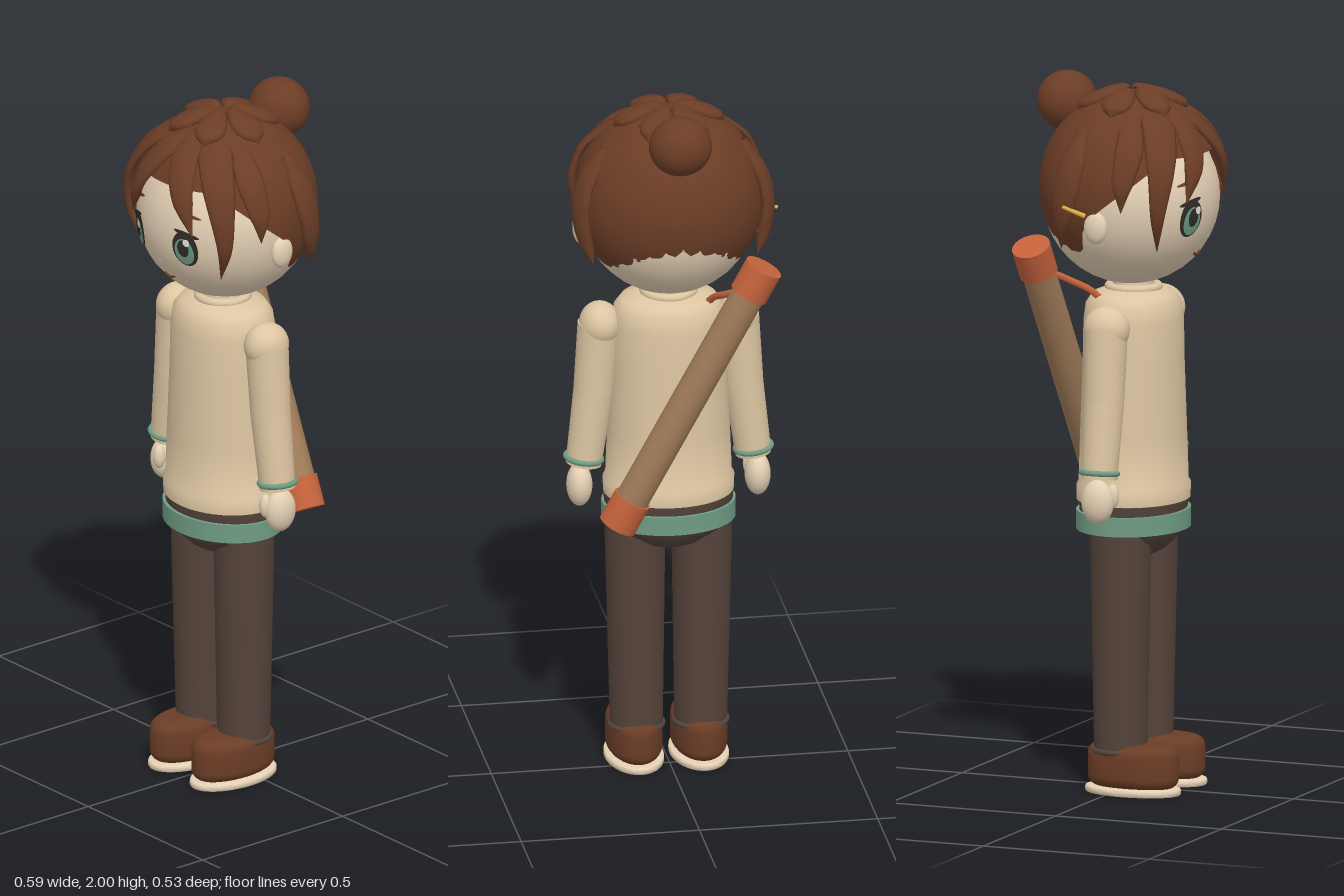
import * as THREE from 'three';
import { toCreasedNormals } from 'three/addons/utils/BufferGeometryUtils.js';

const V = (x, y, z) => new THREE.Vector3(x, y, z);
const mat = (name, color, side = THREE.FrontSide) => {
  const m = new THREE.MeshStandardMaterial({ color, side });
  m.name = name;
  return m;
};

export function createModel() {
  const root = new THREE.Group();
  root.name = 'figure';
  const M = {
    skin: mat('skin', 0xe4d0b4),
    sweater: mat('sweater', 0xddc6a2),
    hair: mat('hair brown', 0x6b3d26, THREE.DoubleSide),
    trousers: mat('trouser brown', 0x54433a),
    green: mat('sage green', 0x6f9c83),
    orange: mat('burnt orange', 0xc4623c),
    tan: mat('tube tan', 0xa07b58),
    yellow: mat('pin yellow', 0xdcae42),
    dark: mat('eye dark', 0x2f2b28),
    white: mat('highlight', 0xf4f0e6),
  };
  const add = (name, geo, material, x = 0, y = 0, z = 0) => {
    const m = new THREE.Mesh(geo, material);
    m.name = name;
    m.position.set(x, y, z);
    root.add(m);
    return m;
  };
  const ball = (name, material, x, y, z, rx, ry = rx, rz = rx) => {
    const m = add(name, new THREE.SphereGeometry(1, 32, 20), material, x, y, z);
    m.scale.set(rx, ry, rz);
    return m;
  };
  // Round bar from a to b
  const bar = (name, material, a, b, ra, rb = ra) => {
    const d = b.clone().sub(a);
    const m = add(name, new THREE.CylinderGeometry(rb, ra, d.length(), 28), material);
    m.position.copy(a).addScaledVector(d, 0.5);
    m.quaternion.setFromUnitVectors(V(0, 1, 0), d.normalize());
    return m;
  };
  // Oval turned profile, listed from bottom to top
  const turned = (name, material, profile, depth) => {
    const g = new THREE.LatheGeometry(profile.map(p => new THREE.Vector2(...p)), 48);
    const m = add(name, toCreasedNormals(g, 0.8), material, 0, 0, 0.018);
    m.scale.z = depth;
    return m;
  };

  // Torso and waist
  turned('sweater', M.sweater, [[0.165, 0.81], [0.182, 0.815], [0.183, 0.855], [0.176, 0.865], [0.171, 1.0],
    [0.163, 1.2], [0.16, 1.32], [0.153, 1.365], [0.132, 1.392], [0.09, 1.405], [0, 1.408]], 0.84);
  turned('hips', M.trousers, [[0, 0.65], [0.06, 0.655], [0.11, 0.675], [0.155, 0.71], [0.178, 0.75],
    [0.181, 0.82], [0, 0.825]], 0.8);
  turned('belt', M.green, [[0.17, 0.733], [0.187, 0.733], [0.187, 0.787], [0.17, 0.787]], 0.82);
  add('neck', new THREE.CylinderGeometry(0.055, 0.055, 0.1, 28), M.skin, 0, 1.4, 0.018);
  const collar = add('collar', new THREE.TorusGeometry(0.068, 0.013, 12, 36), M.sweater, 0, 1.408, 0.018);
  collar.rotation.x = Math.PI / 2;

  // Plan outline of a shoe, extruded upwards
  const oval = (rx, rz, h, bevel) => {
    const s = new THREE.Shape();
    s.absellipse(0, 0, rx - bevel, rz - bevel, 0, Math.PI * 2);
    const g = new THREE.ExtrudeGeometry(s, { depth: h - 2 * bevel, bevelEnabled: true, bevelSize: bevel,
      bevelThickness: bevel, bevelSegments: 6, curveSegments: 24 });
    return toCreasedNormals(g.translate(0, 0, bevel).rotateX(-Math.PI / 2), 0.7);
  };

  for (const s of [1, -1]) {
    const side = s > 0 ? 'left' : 'right';
    // Legs and shoes
    bar(side + 'Leg', M.trousers, V(s * 0.09, 0.09, 0.018), V(s * 0.094, 0.74, 0.02), 0.073, 0.085);
    const cuff = add(side + 'TrouserCuff', new THREE.TorusGeometry(0.073, 0.008, 10, 32), M.trousers, s * 0.09, 0.12, 0.018);
    cuff.rotation.x = Math.PI / 2;
    add(side + 'Shoe', oval(0.077, 0.133, 0.122, 0.032), M.hair, s * 0.091, 0.018, 0.057);
    add(side + 'Sole', oval(0.082, 0.14, 0.02, 0.006), M.skin, s * 0.091, 0, 0.056);

    // Arms
    ball(side + 'Shoulder', M.sweater, s * 0.192, 1.318, 0.02, 0.058, 0.064, 0.066);
    bar(side + 'UpperSleeve', M.sweater, V(s * 0.21, 1.12, 0.02), V(s * 0.194, 1.32, 0.02), 0.056, 0.06);
    ball(side + 'Elbow', M.sweater, s * 0.21, 1.12, 0.02, 0.056);
    bar(side + 'LowerSleeve', M.sweater, V(s * 0.238, 0.905, 0.018), V(s * 0.21, 1.12, 0.02), 0.05, 0.056);
    const ring = add(side + 'WristBand', new THREE.TorusGeometry(0.05, 0.008, 10, 32), M.green, s * 0.238, 0.922, 0.018);
    ring.rotation.set(Math.PI / 2, s * 0.13, 0);
    ball(side + 'Hand', M.skin, s * 0.25, 0.842, 0.018, 0.036, 0.062, 0.047);
    ball(side + 'Thumb', M.skin, s * 0.232, 0.858, 0.056, 0.017, 0.034, 0.018);
    ball(side + 'Ear', M.skin, s * 0.25, 1.612, 0.012, 0.02, 0.045, 0.034);
  }

  // Head
  const HC = V(0, 1.665, 0.01), HR = 0.247;
  ball('head', M.skin, HC.x, HC.y, HC.z, HR);
  // Thin oval face detail laid on the head
  const decal = (name, material, x, y, rx, ry, lift, turn = 0) => {
    const g = new THREE.RingGeometry(0.001, 1, 28, 3).scale(rx, ry, 1).rotateZ(turn).translate(x, y, 0);
    const p = g.attributes.position;
    for (let i = 0; i < p.count; i++) {
      const dy = p.getY(i) - HC.y;
      p.setZ(i, HC.z + lift + Math.sqrt(HR * HR - p.getX(i) ** 2 - dy * dy));
    }
    g.computeVertexNormals();
    add(name, g, material);
  };
  for (const s of [1, -1]) {
    decal('eyeOutline', M.dark, s * 0.098, 1.63, 0.036, 0.053, 0.003);
    decal('iris', M.green, s * 0.097, 1.622, 0.027, 0.04, 0.005);
    decal('pupil', M.dark, s * 0.097, 1.632, 0.016, 0.026, 0.007);
    decal('eyeHighlight', M.white, s * 0.097 + 0.012, 1.652, 0.009, 0.011, 0.009);
    decal('upperLash', M.dark, s * 0.106, 1.677, 0.036, 0.007, 0.006, -s * 0.25);
    decal('eyebrow', M.hair, s * 0.105, 1.73, 0.035, 0.005, 0.004, -s * 0.2);
  }
  decal('nose', M.white, 0, 1.567, 0.009, 0.006, 0.004);
  const smile = new THREE.QuadraticBezierCurve3(V(-0.02, 1.518, 0.208), V(0, 1.502, 0.207), V(0.02, 1.518, 0.208));
  add('mouth', new THREE.TubeGeometry(smile, 10, 0.004, 6), M.hair);

  // Hair cap: a shell whose lower edge follows the hairline from front to back
  const CC = V(0, 1.693, 0.008), CR = V(0.263, 0.264, 0.25);
  const line = [[0, 1.8], [0.7, 1.8], [1.0, 1.755], [1.35, 1.69], [1.7, 1.62], [1.85, 1.53], [3.2, 1.53]];
  const lerpTable = (table, t) => {
    let i = 1;
    while (i < table.length - 1 && t > table[i][0]) i++;
    const [a, b] = [table[i - 1], table[i]];
    return a[1] + (b[1] - a[1]) * (t - a[0]) / (b[0] - a[0]);
  };
  const cap = new THREE.SphereGeometry(1, 72, 28, 0, Math.PI * 2, 0, 3);
  const cp = cap.attributes.position;
  for (let i = 0; i < cp.count; i++) {
    const az = Math.atan2(cp.getX(i), cp.getZ(i));
    const limit = Math.acos((lerpTable(line, Math.abs(az)) - CC.y) / CR.y);
    const th = Math.acos(THREE.MathUtils.clamp(cp.getY(i), -1, 1)) / 3 * limit;
    cp.setXYZ(i, CC.x + CR.x * Math.sin(th) * Math.sin(az), CC.y + CR.y * Math.cos(th),
      CC.z + CR.z * Math.sin(th) * Math.cos(az));
  }
  cap.computeVertexNormals();
  add('hairCap', cap, M.hair);
  ball('hairBun', M.hair, 0, 1.917, -0.183, 0.088, 0.083, 0.083);

  // Lock of hair: flat oval sections swept along a path, facing away from the head
  const lock = (name, points, widths, thick) => {
    const curve = new THREE.CatmullRomCurve3(points), N = 24, R = 12, pos = [], idx = [];
    for (let i = 0; i <= N; i++) {
      const t = i / N, p = curve.getPoint(t), T = curve.getTangent(t);
      const S = T.clone().cross(p.clone().sub(HC)).normalize(), out = S.clone().cross(T);
      const w = lerpTable(widths.map((v, k) => [k / (widths.length - 1), v]), t);
      const h = thick * Math.min(1, w / 0.02);
      for (let j = 0; j < R; j++) {
        const a = j / R * Math.PI * 2;
        const q = p.clone().addScaledVector(S, w * Math.cos(a)).addScaledVector(out, h * Math.sin(a));
        pos.push(q.x, q.y, q.z);
        if (i < N) {
          const k = i * R, n = (j + 1) % R;
          idx.push(k + j, k + R + j, k + n, k + n, k + R + j, k + R + n);
        }
      }
    }
    const g = new THREE.BufferGeometry();
    g.setAttribute('position', new THREE.Float32BufferAttribute(pos, 3));
    g.setIndex(idx);
    g.computeVertexNormals();
    add(name, g, M.hair);
  };
  // Six crown locks in a rosette
  for (let k = 0; k < 6; k++) {
    const a = k * Math.PI / 3;
    const path = [0.018, 0.06, 0.11, 0.155].map(r => V(r * Math.cos(a),
      CC.y + 0.002 + CR.y * Math.sqrt(1 - (r / 0.262) ** 2), 0.015 + r * Math.sin(a)));
    lock('crownLock', path, [0.008, 0.022, 0.033, 0.043, 0.046, 0.034, 0.001], 0.017);
  }
  // Fringe and side locks in mirrored pairs
  for (const s of [1, -1]) {
    const path = pts => pts.map(([x, y, z]) => V(s * x, y, z));
    lock('innerFringe', path([[0.01, 1.925, 0.115], [0.045, 1.872, 0.19], [0.088, 1.79, 0.238], [0.13, 1.675, 0.235]]),
      [0.03, 0.044, 0.042, 0.03, 0.001], 0.014);
    lock('outerFringe', path([[0.05, 1.925, 0.09], [0.13, 1.875, 0.15], [0.196, 1.77, 0.185], [0.206, 1.65, 0.18], [0.165, 1.542, 0.16]]),
      [0.03, 0.05, 0.046, 0.032, 0.018, 0.001], 0.014);
    lock('templeLock', path([[0.13, 1.905, 0.07], [0.222, 1.825, 0.1], [0.257, 1.74, 0.095], [0.256, 1.66, 0.09]]),
      [0.03, 0.04, 0.03, 0.001], 0.012);
    lock('sideLock', path([[0.19, 1.868, -0.05], [0.25, 1.765, -0.065], [0.262, 1.67, -0.08], [0.23, 1.545, -0.1]]),
      [0.018, 0.042, 0.045, 0.035, 0.001], 0.018);
  }
  bar('hairPin', M.yellow, V(-0.262, 1.645, -0.015), V(-0.288, 1.672, -0.072), 0.007, 0.005);

  // Carrying tube across the back with end caps and strap
  const A = V(0.15, 0.815, -0.142), B = V(-0.213, 1.505, -0.188);
  const at = t => A.clone().lerp(B, t);
  bar('carryingTube', M.tan, A, B, 0.047);
  bar('lowerCap', M.orange, at(-0.055), at(0.06), 0.054);
  bar('upperCap', M.orange, at(0.94), at(1.055), 0.054);
  const strap = new THREE.CatmullRomCurve3([at(0.04), V(0.13, 0.85, -0.06), V(0.02, 1.12, -0.05),
    V(-0.1, 1.385, -0.04), V(-0.14, 1.44, -0.12), at(0.96)]);
  add('strap', new THREE.TubeGeometry(strap, 40, 0.01, 8), M.orange);

  return root;
}
